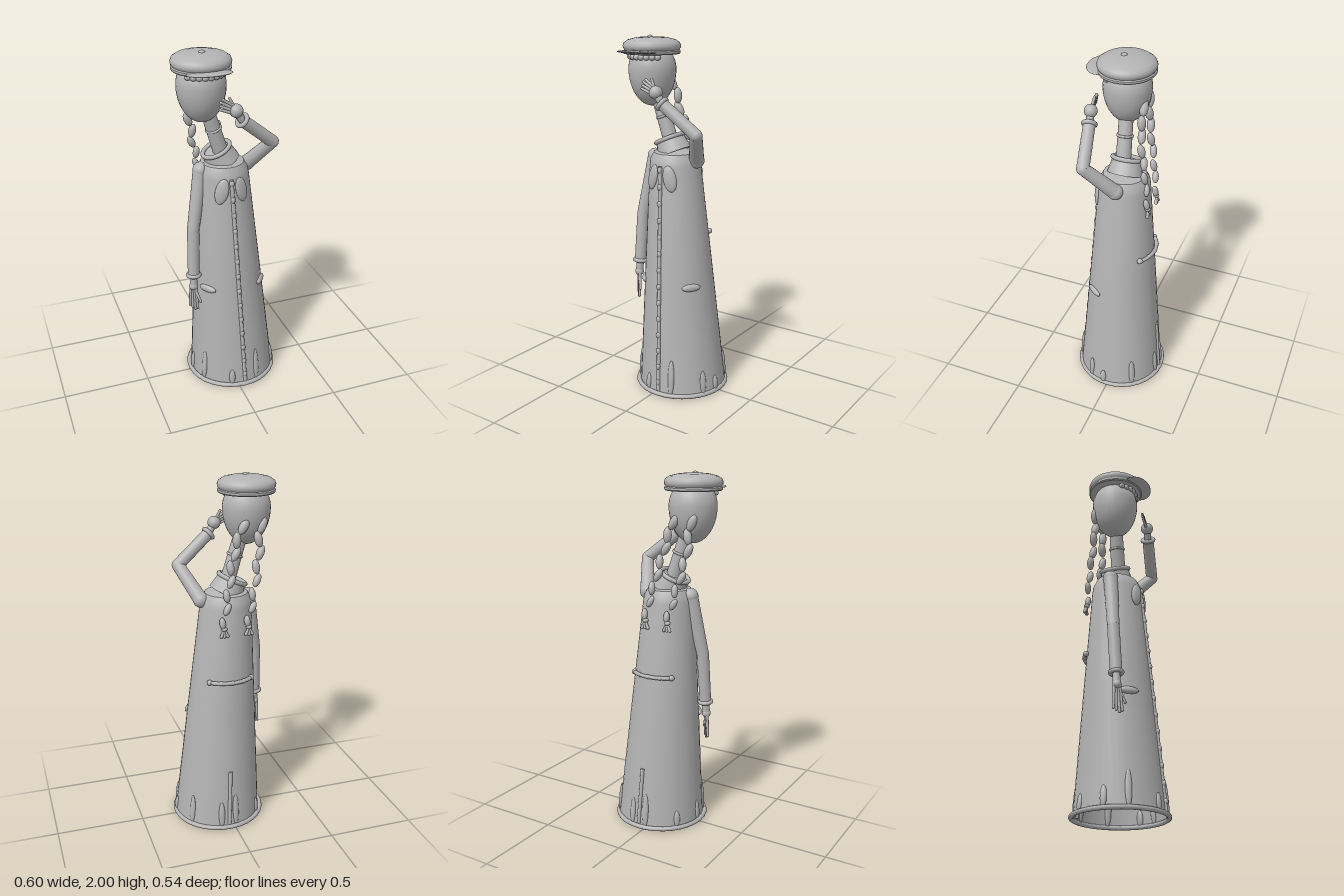
import * as THREE from 'three';
import { toCreasedNormals } from 'three/addons/utils/BufferGeometryUtils.js';

const V = (x, y, z) => new THREE.Vector3(x, y, z);
const UP = V(0, 1, 0);
const clay = new THREE.MeshStandardMaterial({ color: 0xb4b4b4, side: THREE.DoubleSide });
clay.name = 'clayGrey';

function add(parent, name, geo) {
  const m = new THREE.Mesh(geo, clay);
  m.name = name;
  parent.add(m);
  return m;
}

function part(parent, name) {
  const g = new THREE.Group();
  g.name = name;
  parent.add(g);
  return g;
}

// Ellipsoid at p with radii rx, ry, rz
function blob(parent, name, p, rx, ry = rx, rz = rx) {
  const m = add(parent, name, new THREE.SphereGeometry(1, 20, 14));
  m.position.copy(p);
  m.scale.set(rx, ry, rz);
  return m;
}

// Tapered rod from a to b
function rod(parent, name, a, b, ra, rb = ra) {
  const d = b.clone().sub(a);
  const m = add(parent, name, new THREE.CylinderGeometry(rb, ra, d.length(), 20));
  m.position.copy(a).add(b).multiplyScalar(0.5);
  m.quaternion.setFromUnitVectors(UP, d.normalize());
  return m;
}

// Torus at p around the given axis
function ring(parent, name, p, axis, R, r) {
  const m = add(parent, name, new THREE.TorusGeometry(R, r, 10, 32));
  m.position.copy(p);
  m.quaternion.setFromUnitVectors(V(0, 0, 1), axis.clone().normalize());
  return m;
}

// The coat is a leaning cone: its centre line and radius at height y
const coatX = (y) => 0.038 - 0.042 * y;
const coatR = (y) => 0.25 - 0.082 * y;
function onCoat(deg, y, out = 0) {
  const a = THREE.MathUtils.degToRad(deg);
  const r = coatR(y) + out;
  return V(coatX(y) + r * Math.cos(a), y, r * Math.sin(a));
}

// Flattened blob lying on the coat, turned by roll within the surface
function patch(parent, name, deg, y, w, h, t, roll = 0) {
  const m = blob(parent, name, onCoat(deg, y), w, h, t);
  m.rotation.set(-0.082, Math.PI / 2 - THREE.MathUtils.degToRad(deg), roll, 'YXZ');
  return m;
}

function buildCoat(root) {
  const g = part(root, 'coat');
  const profile = [[0.249, 0.012], [0.193, 0.7], [0.143, 1.3], [0.137, 1.335], [0.118, 1.37], [0.06, 1.385], [0, 1.385]];
  const geo = new THREE.LatheGeometry(profile.map(([r, y]) => new THREE.Vector2(r, y)), 40);
  const p = geo.attributes.position;
  for (let i = 0; i < p.count; i++) p.setX(i, p.getX(i) + coatX(p.getY(i)));
  add(g, 'coatBody', toCreasedNormals(geo, 0.6));
  ring(g, 'hem', V(0.032, 0.014, 0), UP, 0.256, 0.013);

  // Front seam with toggles
  rod(g, 'frontSeam', onCoat(90, 0.03), onCoat(90, 1.31), 0.011);
  for (let i = 0; i < 14; i++) {
    const y = 0.08 + i * 0.093;
    blob(g, 'toggle', onCoat(90, y, 0.004), 0.013, 0.019, 0.013);
  }
  rod(g, 'backVent', onCoat(270, 0.03), onCoat(270, 0.36), 0.011);

  // Lapels and pockets
  for (const s of [-1, 1]) {
    patch(g, 'lapel', 90 - s * 22, 1.245, 0.037, 0.073, 0.016, s * 0.22);
    patch(g, 'pocket', 90 - s * 54, 0.64, 0.055, 0.021, 0.016);
  }

  // Half belt across the back
  const belt = [];
  for (let a = 230; a <= 310; a += 8) belt.push(onCoat(a, 0.9, 0.012));
  const curve = new THREE.CatmullRomCurve3(belt);
  add(g, 'backBelt', new THREE.TubeGeometry(curve, 30, 0.011, 10));
  for (const t of [0, 1]) blob(g, 'beltButton', curve.getPoint(t), 0.016);
  for (const t of [0.25, 0.5, 0.75]) blob(g, 'beltKnot', curve.getPoint(t), 0.013);

  // Upright petals around the hem: angle, top height
  const petals = [[6, 0.09], [27, 0.14], [71, 0.21], [108, 0.1], [150, 0.2], [180, 0.12],
    [217, 0.1], [261, 0.2], [281, 0.16], [324, 0.18]];
  for (const [a, h] of petals) patch(g, 'hemPetal', a, h / 2 + 0.012, 0.018, h / 2, 0.012);
}

function buildHead(root) {
  const g = part(root, 'head');
  // Collar and neck
  const tilt = V(-0.45, 1, 0);
  rod(g, 'collar', V(-0.02, 1.365, 0), V(-0.052, 1.435, 0), 0.098, 0.08);
  ring(g, 'collarRim', V(-0.055, 1.44, 0.002), tilt, 0.079, 0.012);
  rod(g, 'neck', V(-0.025, 1.4, 0.015), V(-0.12, 1.7, 0.03), 0.042, 0.038);
  ring(g, 'choker', V(-0.076, 1.565, 0.022), V(-0.32, 1, 0.05), 0.04, 0.007);

  // Egg-shaped head
  const egg = new THREE.SphereGeometry(1, 32, 24);
  const p = egg.attributes.position;
  for (let i = 0; i < p.count; i++) {
    const y = p.getY(i);
    p.setXYZ(i, p.getX(i) * 0.131, y * (y < 0 ? 0.2 : 0.14), p.getZ(i) * 0.131);
  }
  egg.computeVertexNormals();
  add(g, 'skull', egg).position.set(-0.145, 1.82, 0.035);

  // Fringe beads under the cap
  for (let i = 0; i < 8; i++) {
    const a = THREE.MathUtils.degToRad(40 + i * 14.3);
    blob(g, 'fringeBead', V(-0.145 + 0.12 * Math.cos(a), 1.886, 0.035 + 0.12 * Math.sin(a)), 0.018, 0.016, 0.016);
  }

  // Cap
  const cap = part(g, 'cap');
  cap.position.set(-0.145, 0, 0.038);
  const profile = [[0, 1.9], [0.15, 1.9], [0.156, 1.906], [0.156, 1.917], [0.149, 1.922],
    [0.156, 1.932], [0.158, 1.944], [0.152, 1.96], [0.13, 1.975], [0.08, 1.987], [0, 1.992]];
  const capGeo = new THREE.LatheGeometry(profile.map(([r, y]) => new THREE.Vector2(r, y)), 40);
  add(cap, 'capCrown', toCreasedNormals(capGeo, 0.7));
  blob(cap, 'capButton', V(0, 1.989, 0.016), 0.017, 0.011, 0.017);
  blob(cap, 'visor', V(0, 1.914, 0.137), 0.12, 0.01, 0.076).rotation.x = -0.08;
}

function buildBraids(root) {
  const paths = [
    [V(-0.19, 1.74, -0.07), V(-0.175, 1.58, -0.085), V(-0.135, 1.38, -0.125), V(-0.1, 1.24, -0.15)],
    [V(-0.085, 1.74, -0.075), V(-0.035, 1.58, -0.085), V(0.01, 1.38, -0.125), V(0.04, 1.24, -0.15)],
  ];
  for (const pts of paths) {
    const g = part(root, 'braid');
    const curve = new THREE.CatmullRomCurve3(pts);
    const n = 8;
    for (let i = 0; i < n; i++) {
      const t = i / (n - 1);
      const c = curve.getPointAt(t);
      const k = 1 - 0.3 * t;
      c.x += (i % 2 ? 1 : -1) * 0.008;
      const m = blob(g, 'braidLink', c, 0.024 * k, 0.047 * k, 0.024 * k);
      const dir = curve.getTangentAt(t).negate();
      dir.x += i % 2 ? 0.3 : -0.3;
      m.quaternion.setFromUnitVectors(UP, dir.normalize());
    }
    // Tie and tassel
    const end = pts[3].clone().add(V(0, -0.032, -0.004));
    blob(g, 'braidTie', end, 0.017, 0.012, 0.017);
    for (const s of [-1, 0, 1]) {
      const tip = end.clone().add(V(s * 0.018, -0.04, -0.006));
      rod(g, 'tassel', end, tip, 0.006, 0.009);
      blob(g, 'tasselTip', tip, 0.009);
    }
  }
}

// Sleeve, cuff and hand; across is the direction the fingers spread in
function buildArm(root, name, shoulder, elbow, wrist, palm, tip, across, palmR) {
  const g = part(root, name);
  blob(g, 'shoulder', shoulder, 0.043);
  rod(g, 'upperSleeve', shoulder, elbow, 0.041, 0.034);
  blob(g, 'elbow', elbow, 0.034);
  rod(g, 'lowerSleeve', elbow, wrist, 0.034, 0.033);
  ring(g, 'cuff', wrist, wrist.clone().sub(elbow), 0.032, 0.012);
  rod(g, 'wrist', wrist, palm, 0.02, 0.022);
  blob(g, 'palm', palm, palmR);
  const reach = tip.clone().sub(palm);
  for (let i = 0; i < 4; i++) {
    const s = i - 1.5;
    const a = palm.clone().addScaledVector(across, s * 0.011);
    const k = 1 - 0.06 * Math.abs(s - 0.5);
    const b = palm.clone().addScaledVector(reach, k).addScaledVector(across, s * 0.017);
    rod(g, 'finger', a, b, 0.009, 0.007);
    blob(g, 'fingerTip', b, 0.0075);
  }
  const thumbTip = palm.clone().addScaledVector(reach, 0.62).addScaledVector(across, 0.045);
  rod(g, 'thumb', palm, thumbTip, 0.009, 0.007);
  blob(g, 'thumbTip', thumbTip, 0.0075);
}

export function createModel() {
  const root = new THREE.Group();
  root.name = 'figure';
  buildCoat(root);
  buildHead(root);
  buildBraids(root);
  buildArm(root, 'leftArm', V(0.125, 1.335, 0.0), V(0.213, 1.5, 0.142), V(0.025, 1.655, 0.182),
    V(-0.01, 1.712, 0.188), V(-0.095, 1.755, 0.188), V(0.45, 0.85, -0.2).normalize(), 0.036);
  buildArm(root, 'rightArm', V(-0.148, 1.335, 0.01), V(-0.208, 1.0, 0.05), V(-0.217, 0.72, 0.07),
    V(-0.221, 0.65, 0.075), V(-0.222, 0.5, 0.082), V(0.7, 0, 0.7), 0.025);
  return root;
}
